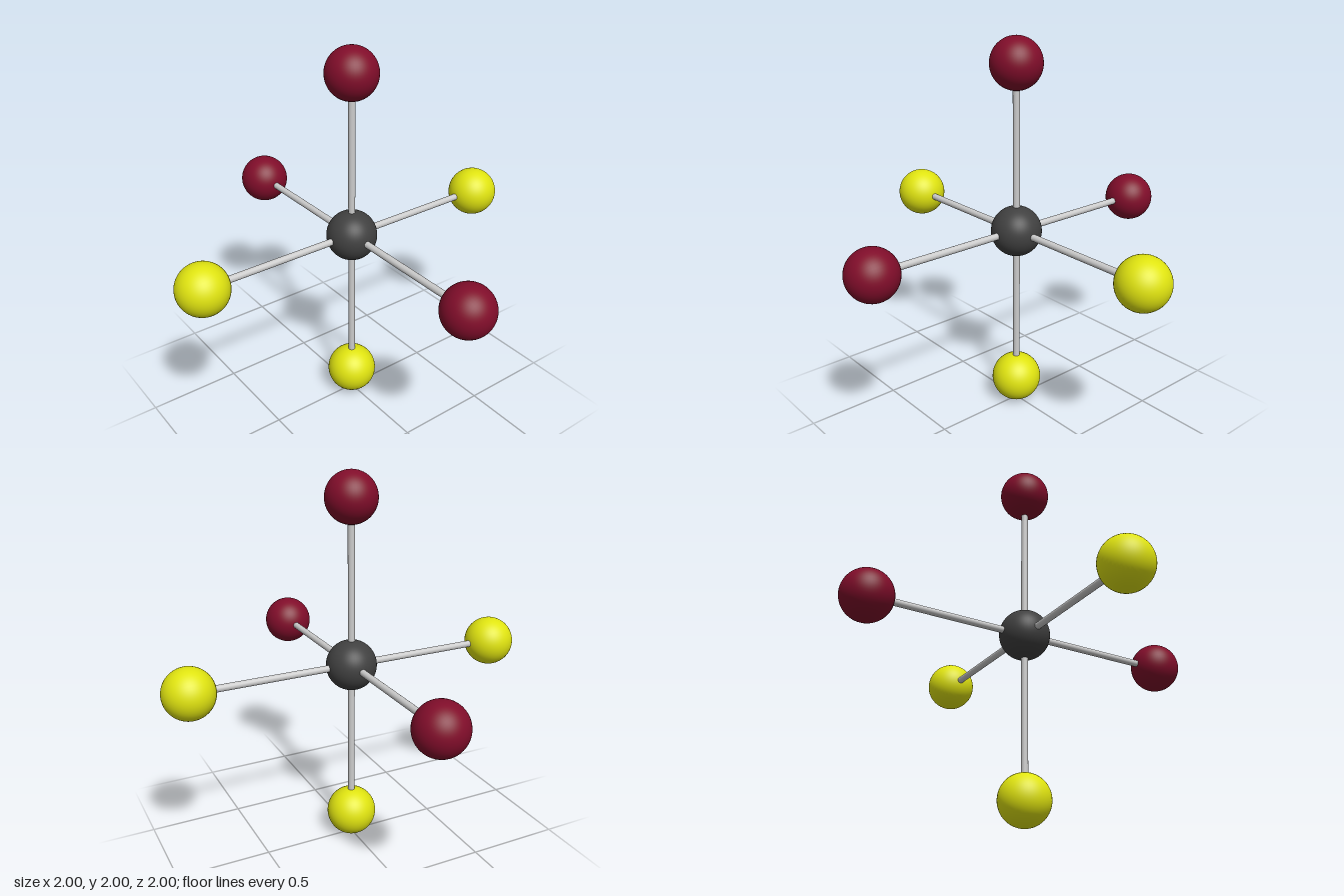
import * as THREE from 'three';

const BALL_RADIUS = 0.133;
const ARM_LENGTH = 0.867;
const ROD_RADIUS = 0.018;

export function createModel() {
  const model = new THREE.Group();
  model.name = 'ballAndStickModel';

  const grey = new THREE.MeshStandardMaterial({ color: 0xcccccc });
  const dark = new THREE.MeshStandardMaterial({ color: 0x404040 });
  const red = new THREE.MeshStandardMaterial({ color: 0x800d2a });
  const yellow = new THREE.MeshStandardMaterial({ color: 0xe0e410 });

  const ballGeometry = new THREE.SphereGeometry(BALL_RADIUS, 48, 32);
  // Rod running from the central ball's middle outwards along +y
  const rodGeometry = new THREE.CylinderGeometry(ROD_RADIUS, ROD_RADIUS, ARM_LENGTH, 24);
  rodGeometry.translate(0, ARM_LENGTH / 2, 0);

  const add = (parent, name, geometry, material) => {
    const mesh = new THREE.Mesh(geometry, material);
    mesh.name = name;
    parent.add(mesh);
    return mesh;
  };

  // Central ball
  add(model, 'centreBall', ballGeometry, dark).position.y = 1;

  // Six arms, each a rod with a ball at its end
  const arms = [
    ['top', [0, 1, 0], red],
    ['bottom', [0, -1, 0], yellow],
    ['left', [1, 0, 0], red],
    ['right', [-1, 0, 0], red],
    ['front', [0, 0, 1], yellow],
    ['back', [0, 0, -1], yellow],
  ];
  const up = new THREE.Vector3(0, 1, 0);
  for (const [side, direction, material] of arms) {
    const arm = new THREE.Group();
    arm.name = side + 'Arm';
    add(arm, side + 'Rod', rodGeometry, grey);
    add(arm, side + 'Ball', ballGeometry, material).position.y = ARM_LENGTH;
    arm.quaternion.setFromUnitVectors(up, new THREE.Vector3(...direction));
    arm.position.y = 1;
    model.add(arm);
  }

  return model;
}
